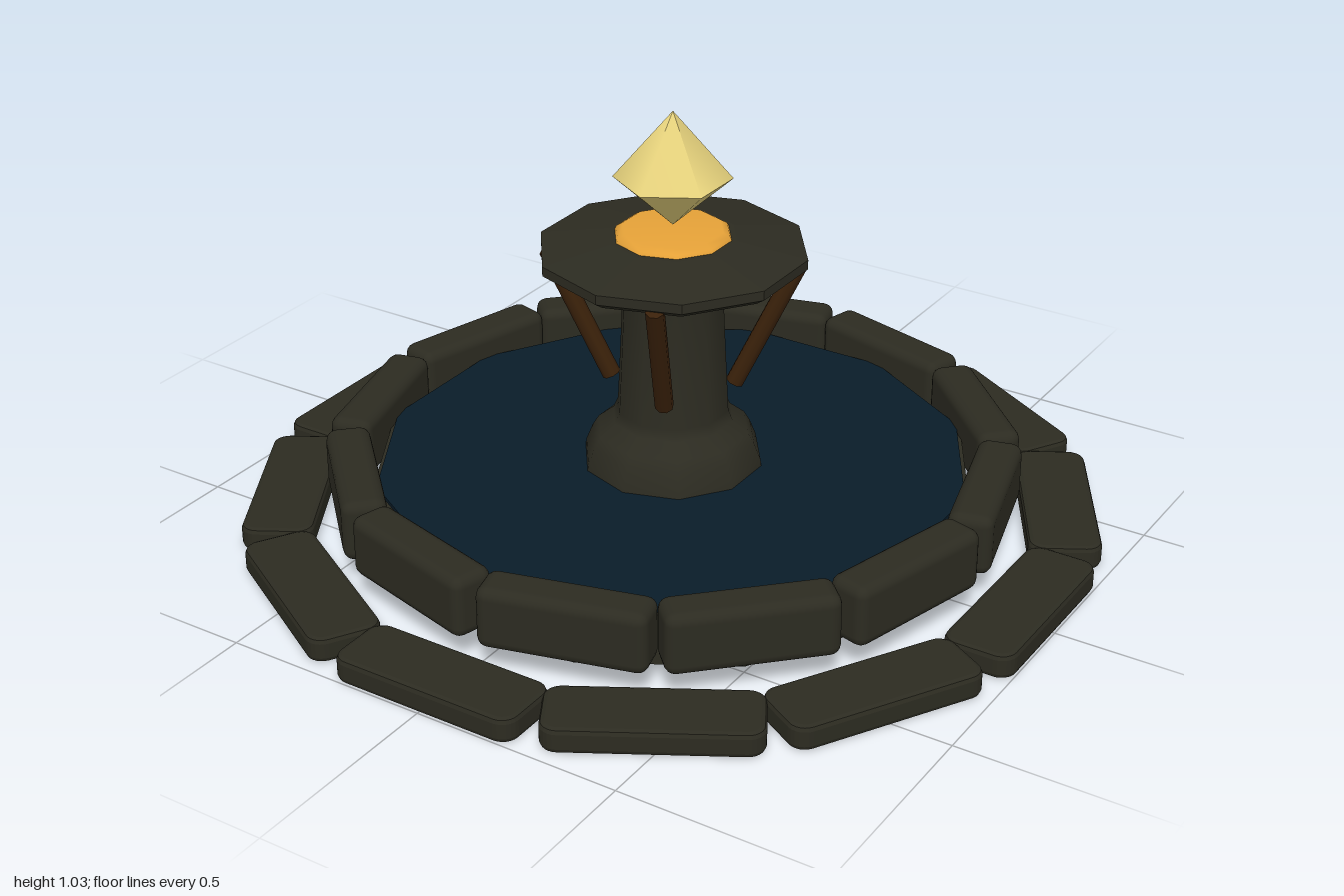
import * as THREE from 'three';
import { RoundedBoxGeometry } from 'three/addons/geometries/RoundedBoxGeometry.js';

const material = (name, color, extra = {}) => {
  const m = new THREE.MeshStandardMaterial({ color, ...extra });
  m.name = name;
  return m;
};

// Flat slab with rounded plan corners and a small bevelled rim, centred on the origin
function slabGeometry(w, h, d, corner, bevel) {
  const x = w / 2 - bevel, y = d / 2 - bevel, r = corner - bevel;
  const shape = new THREE.Shape();
  shape.absarc(x - r, y - r, r, 0, Math.PI / 2);
  shape.absarc(r - x, y - r, r, Math.PI / 2, Math.PI);
  shape.absarc(r - x, r - y, r, Math.PI, Math.PI * 1.5);
  shape.absarc(x - r, r - y, r, Math.PI * 1.5, Math.PI * 2);
  return new THREE.ExtrudeGeometry(shape, {
    depth: h - 2 * bevel, bevelThickness: bevel, bevelSize: bevel, bevelSegments: 2, curveSegments: 3,
  }).translate(0, 0, bevel - h / 2).rotateX(-Math.PI / 2);
}

export function createModel() {
  const stone = material('dark stone', 0x2c2b21);
  const facetedStone = material('dark stone faceted', 0x2c2b21, { flatShading: true });
  const water = material('deep water', 0x091c29);
  const wood = material('brown wood', 0x3a210a);
  const ember = material('orange glow', 0xe6a238);
  const crystalMat = material('pale gold crystal', 0xe6d27c);

  const model = new THREE.Group();
  model.name = 'fountain';
  const add = (name, geometry, mat, y = 0, parent = model) => {
    const mesh = new THREE.Mesh(geometry, mat);
    mesh.name = name;
    mesh.position.y = y;
    parent.add(mesh);
    return mesh;
  };

  // A ring of twelve stones facing the centre
  const ring = (name, geometry, radius, y, offset) => {
    const group = new THREE.Group();
    group.name = name;
    for (let i = 0; i < 12; i++) {
      const a = offset + (i * Math.PI) / 6;
      const block = add(name + 'Stone', geometry, stone, y, group);
      block.position.x = Math.sin(a) * radius;
      block.position.z = Math.cos(a) * radius;
      block.rotation.y = a;
    }
    model.add(group);
  };
  ring('pavingRing', slabGeometry(0.47, 0.06, 0.17, 0.04, 0.012), 0.915, 0.03, 0);
  ring('basinWall', new RoundedBoxGeometry(0.386, 0.15, 0.105, 2, 0.026), 0.75, 0.145, Math.PI / 12);

  // Basin floor and water surface, twelve-sided
  const floor = add('basinFloor', new THREE.CylinderGeometry(0.715, 0.715, 0.125, 12), facetedStone, 0.0825);
  const pool = add('water', new THREE.CylinderGeometry(0.705, 0.705, 0.009, 12), water, 0.1495);
  floor.rotation.y = pool.rotation.y = Math.PI / 12;

  const lathe = (points) => new THREE.LatheGeometry(points.map(([x, y]) => new THREE.Vector2(x, y)), 10);

  // Pillar with flared foot
  add('pillar', lathe([
    [0.217, 0.14], [0.213, 0.17], [0.197, 0.21], [0.182, 0.235], [0.145, 0.265],
    [0.134, 0.29], [0.126, 0.45], [0.12, 0.58], [0.127, 0.62],
  ]), stone);

  // Ten-sided bowl on top of the pillar
  add('bowl', lathe([
    [0, 0.6], [0.13, 0.602], [0.29, 0.657], [0.315, 0.674], [0.315, 0.697], [0.15, 0.725], [0, 0.725],
  ]), facetedStone);

  // Low glowing dome in the bowl
  add('ember', lathe([[0.14, 0.72], [0.134, 0.733], [0.118, 0.743], [0, 0.744]]), ember);

  // Four slanted wooden braces under the bowl
  const up = new THREE.Vector3(0, 1, 0);
  for (let i = 0; i < 4; i++) {
    const a = 0.43 + (i * Math.PI) / 2;
    const at = (r, y) => new THREE.Vector3(Math.sin(a) * r, y, Math.cos(a) * r);
    const low = at(0.145, 0.36), high = at(0.29, 0.67);
    const dir = high.clone().sub(low);
    const brace = add('brace', new THREE.CylinderGeometry(0.022, 0.022, dir.length(), 8), wood);
    brace.position.copy(low).add(high).multiplyScalar(0.5);
    brace.quaternion.setFromUnitVectors(up, dir.normalize());
  }

  // Floating six-sided crystal
  const crystal = new THREE.Group();
  crystal.name = 'crystal';
  add('crystalTop', new THREE.ConeGeometry(0.137, 0.16, 6, 1, true), crystalMat, 0.946, crystal);
  add('crystalBottom', new THREE.CylinderGeometry(0.137, 0, 0.116, 6, 1, true), crystalMat, 0.808, crystal);
  model.add(crystal);

  return model;
}
